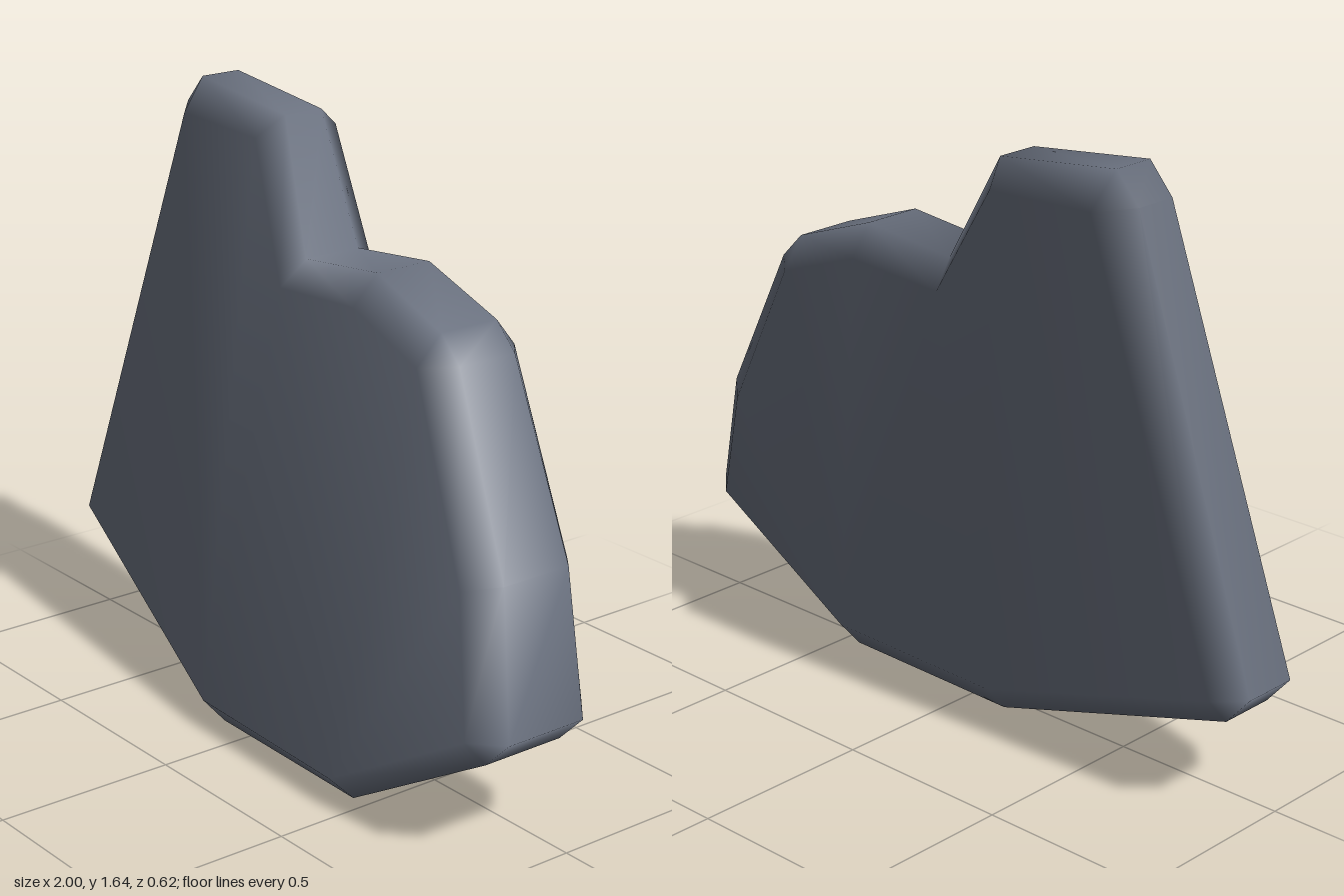
import * as THREE from 'three';

// One row per corner of the slab:
// bevelled face corner x, y, front z, back z | rim front z, rim back z | rim outline points
const corners = [
  [-0.93, 0.35, 0.11, -0.19, 0.04, -0.12, [[-1, 0.35], [-0.93, 0.27]]],
  [-0.12, 0.08, 0.29, -0.12, 0.22, -0.05, [[-0.12, 0]]],
  [0.45, 0.08, 0.31, -0.11, 0.23, -0.04, [[0.45, 0]]],
  [0.92, 0.35, 0.27, -0.11, 0.20, -0.04, [[0.92, 0.27], [1, 0.35]]],
  [0.80, 0.68, 0.19, -0.16, 0.12, -0.09, [[0.88, 0.70]]],
  [0.50, 1.14, 0.08, -0.24, 0.01, -0.17, [[0.58, 1.15], [0.51, 1.22]]],
  [0.24, 1.23, 0.07, -0.24, 0.00, -0.17, [[0.25, 1.31]]],
  [-0.06, 1.21, 0.07, -0.24, 0.00, -0.17, [[-0.04, 1.28]]],
  [-0.31, 1.54, -0.04, -0.31, -0.11, -0.23, [[-0.27, 1.60]]],
  [-0.63, 1.55, -0.04, -0.31, -0.11, -0.23, [[-0.64, 1.64], [-0.71, 1.56]]],
];

// Triangles that span a broad face, between corners
const faceTriangles = [
  [0, 1, 9], [1, 8, 9], [1, 7, 8], [1, 2, 7],
  [2, 6, 7], [2, 5, 6], [2, 4, 5], [2, 3, 4],
];

function slabGeometry() {
  const positions = [];
  const index = [];
  const add = (x, y, z) => positions.push(x, y, z) / 3 - 1;
  const tri = (a, b, c) => {
    if (a !== b && b !== c && a !== c) index.push(a, b, c);
  };

  // Four rings: front face, front rim, back rim, back face
  const rings = [[], [], [], []];
  const front = [];
  const back = [];
  for (const [x, y, zFront, zBack, rimFront, rimBack, outline] of corners) {
    const f = add(x, y, zFront);
    const b = add(x, y, zBack);
    front.push(f);
    back.push(b);
    for (const [ox, oy] of outline) {
      rings[0].push(f);
      rings[1].push(add(ox, oy, rimFront));
      rings[2].push(add(ox, oy, rimBack));
      rings[3].push(b);
    }
  }

  // Front bevel, rim and back bevel
  const n = rings[0].length;
  for (let r = 0; r < 3; r++) {
    for (let i = 0; i < n; i++) {
      const j = (i + 1) % n;
      const [p, q] = [rings[r], rings[r + 1]];
      tri(p[i], q[i], q[j]);
      tri(p[i], q[j], p[j]);
    }
  }

  // Broad front and back faces
  for (const [a, b, c] of faceTriangles) {
    tri(front[a], front[b], front[c]);
    tri(back[a], back[c], back[b]);
  }

  const geometry = new THREE.BufferGeometry();
  geometry.setAttribute('position', new THREE.Float32BufferAttribute(positions, 3));
  geometry.setIndex(index);
  geometry.computeVertexNormals();
  return geometry;
}

export function createModel() {
  const slate = new THREE.MeshStandardMaterial({ color: 0x6b7280 });
  slate.name = 'slate grey';

  const slab = new THREE.Mesh(slabGeometry(), slate);
  slab.name = 'stoneSlab';

  const model = new THREE.Group();
  model.name = 'rock';
  model.add(slab);
  return model;
}
